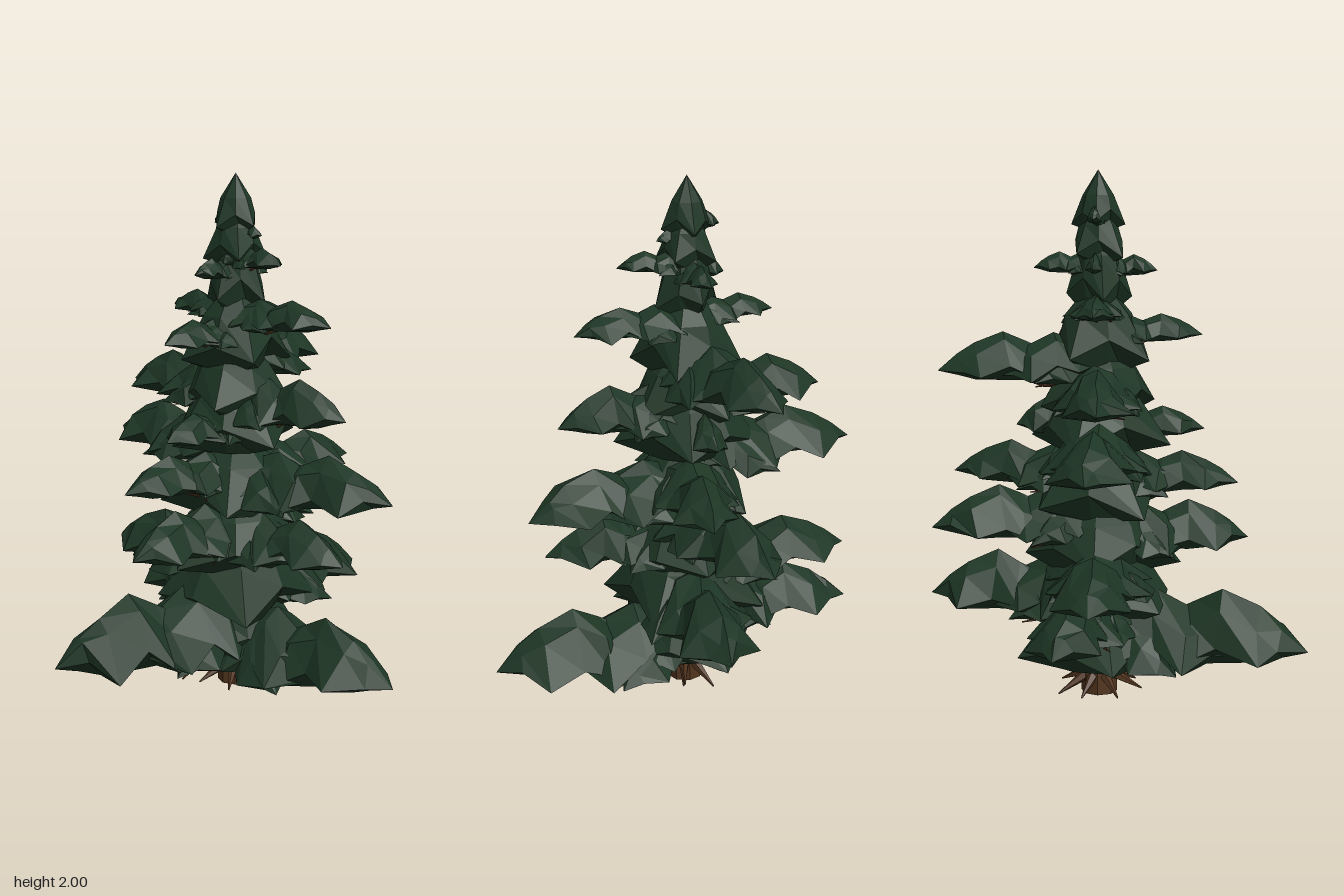
import * as THREE from 'three';
import { mergeGeometries } from 'three/addons/utils/BufferGeometryUtils.js';

const CX = -0.05, CZ = -0.07; // trunk axis
const UP = new THREE.Vector3(0, 1, 0);
const green = new THREE.MeshStandardMaterial({ color: 0x1d3524, flatShading: true });
const brown = new THREE.MeshStandardMaterial({ color: 0x51341e, flatShading: true });

// Seeded jitter in -1..1
let seed = 7;
function jitter() {
  seed = (seed * 16807) % 2147483647;
  return (seed / 2147483647) * 2 - 1;
}

// Lens-shaped needle clump: cross-sections along root to tip
const STATIONS = [ // t, half width, ridge, edge, belly
  [0.0, 0.5, 0.5, 0.1, -0.25],
  [0.2, 1.0, 0.75, -0.12, -0.32],
  [0.4, 0.72, 1.0, 0.12, -0.3],
  [0.66, 1.0, 0.72, -0.1, -0.25],
  [0.82, 0.42, 0.44, 0.06, -0.12],
];
function clump(root, tip, width, height) {
  const side = tip.clone().sub(root).cross(UP).normalize();
  const at = (t, s, v) => root.clone().lerp(tip, t).addScaledVector(side, s * width).addScaledVector(UP, v * height);
  const rings = STATIONS.map(([t, w, ridge, edge, belly]) => {
    const shoulder = edge + (ridge - edge) * 0.7;
    const j = () => jitter() * 0.09;
    return [
      at(t + j() * 0.5, w + j(), edge + j()), at(t, w * 0.48 + j(), shoulder + j()), at(t, j(), ridge),
      at(t, -w * 0.48 + j(), shoulder + j()), at(t + j() * 0.5, -w + j(), edge + j()), at(t, j(), belly),
    ];
  });
  const tris = [];
  for (let k = 1; k < 5; k++) tris.push(rings[0][0], rings[0][k], rings[0][k + 1]);
  for (let i = 0; i < rings.length; i++) {
    const a = rings[i], b = rings[i + 1];
    for (let k = 0; k < 6; k++) {
      const n = (k + 1) % 6;
      if (b) tris.push(a[k], b[k], a[n], b[k], b[n], a[n]);
      else tris.push(a[k], tip, a[n]);
    }
  }
  const g = new THREE.BufferGeometry().setFromPoints(tris);
  g.computeVertexNormals();
  return g;
}

// Tapered stick between two points
function stick(a, b, r0, r1, sides = 5) {
  const d = b.clone().sub(a);
  const g = new THREE.CylinderGeometry(r1, r0, d.length(), sides);
  g.applyQuaternion(new THREE.Quaternion().setFromUnitVectors(UP, d.clone().normalize()));
  const m = a.clone().add(b).multiplyScalar(0.5);
  return g.translate(m.x, m.y, m.z);
}

// One bough: outer clump, inner clump, two side clumps and its wooden branch
function bough(tx, ty, tz, peak) {
  const group = new THREE.Group();
  group.name = 'bough';
  const axis = new THREE.Vector3(CX, ty, CZ);
  const reach = new THREE.Vector3(tx - CX, 0, tz - CZ);
  const L = reach.length(), h = peak - ty;
  const along = (f, turn = 0, lift = 0) =>
    axis.clone().addScaledVector(reach.clone().applyAxisAngle(UP, turn), f).addScaledVector(UP, lift * h);
  const parts = [
    clump(along(0.33), along(1), L * 0.225, h),
    clump(along(0.02, 0, 0.1), along(0.68, 0.05 * jitter(), -0.15), L * 0.29, h * 0.95),
  ];
  for (const s of [-1, 1]) {
    const turn = s * (0.5 + 0.1 * jitter());
    parts.push(clump(along(0.05), along(0.54 + 0.06 * jitter(), turn, -0.3), L * 0.15, h * 0.7));
  }
  const needles = new THREE.Mesh(mergeGeometries(parts), green);
  needles.name = 'needles';
  const wood = new THREE.Mesh(mergeGeometries([
    stick(along(0, 0, -0.35), along(0.35, 0, -0.44), L * 0.028, L * 0.02),
    stick(along(0.34, 0, -0.44), along(0.7, 0, 0.1), L * 0.02, L * 0.006),
    stick(along(0.2, 0, -0.4), along(0.46, 0.4, -0.4), L * 0.015, L * 0.004),
  ]), brown);
  wood.name = 'branch';
  group.add(needles, wood);
  return group;
}

// Jagged skirt of needles around the trunk, tucked in underneath
function skirt(top, rim, r, turn) {
  const n = 8, H = top - rim;
  const profile = [[0, rim], [r * 0.55, rim], [r, rim + H * 0.22], [r * 0.68, rim + H * 0.58], [0, top]]
    .map(([x, y]) => new THREE.Vector2(x, y));
  const g = new THREE.LatheGeometry(profile, n, turn);
  const p = g.attributes.position;
  const wob = Array.from({ length: n }, (_, j) => (j % 2 ? 0.85 : 1.12) + 0.08 * jitter());
  for (let i = 0; i < p.count; i++) {
    const f = wob[Math.floor(i / 5) % n];
    if (i % 5 === 2) p.setXYZ(i, p.getX(i) * f, p.getY(i) + (1 - f) * H * 0.7, p.getZ(i) * f);
  }
  g.computeVertexNormals();
  const mesh = new THREE.Mesh(g.translate(CX, 0, CZ), green);
  mesh.name = 'needleSkirt';
  return mesh;
}

export function createModel() {
  seed = 7;
  const tree = new THREE.Group();
  tree.name = 'firTree';

  // Trunk and spreading roots
  const base = new THREE.Vector3(CX, 0, CZ);
  const trunk = new THREE.Mesh(stick(base, base.clone().setY(1.85), 0.07, 0.012, 8), brown);
  trunk.name = 'trunk';
  tree.add(trunk);
  const roots = [];
  for (let i = 0; i < 8; i++) {
    const a = (i / 8) * Math.PI * 2 + 0.25 + 0.2 * jitter();
    const r = 0.16 + 0.02 * jitter();
    roots.push(stick(
      new THREE.Vector3(CX + Math.cos(a) * 0.03, 0.085, CZ + Math.sin(a) * 0.03),
      new THREE.Vector3(CX + Math.cos(a) * r, 0.015 + 0.012 * jitter(), CZ + Math.sin(a) * r), 0.026, 0.003));
  }
  const rootMesh = new THREE.Mesh(mergeGeometries(roots), brown);
  rootMesh.name = 'roots';
  const twig = new THREE.Mesh(
    stick(new THREE.Vector3(CX, 0.06, CZ), new THREE.Vector3(0.02, 0.08, -0.3), 0.02, 0.004), brown);
  twig.name = 'bareTwig';
  tree.add(rootMesh, twig);

  // Needle skirts hugging the trunk: top, rim, radius
  [
    [2.0, 1.78, 0.085], [1.9, 1.66, 0.105], [1.84, 1.48, 0.115],
    [1.62, 1.26, 0.19], [1.42, 1.08, 0.21], [1.3, 0.95, 0.24],
    [1.04, 0.7, 0.25], [0.84, 0.48, 0.27], [0.66, 0.3, 0.29], [0.48, 0.11, 0.27],
  ].forEach(([t, b, r], i) => tree.add(skirt(t, b, r, i * 0.9)));

  // Boughs: tip x, y, z and crest height
  [
    [0.72, 0.15, -0.13, 0.36], [0.51, 0.58, -0.08, 0.72], [0.6, 0.8, -0.25, 0.96],
    [0.46, 1.11, -0.14, 1.25], [0.39, 1.45, -0.13, 1.54], [0.21, 1.67, -0.05, 1.73],
    [-0.68, 0.31, -0.18, 0.47], [-0.72, 0.48, -0.05, 0.63], [-0.72, 0.94, -0.06, 1.09],
    [-0.6, 1.16, -0.03, 1.3], [-0.39, 1.48, -0.06, 1.55], [-0.19, 1.64, -0.08, 1.7],
    [-0.18, 0.21, 0.73, 0.44], [0.0, 0.61, 0.5, 0.76], [-0.09, 0.84, 0.46, 0.96],
    [0.0, 1.03, 0.33, 1.12], [-0.02, 1.39, 0.32, 1.47], [-0.04, 1.63, 0.15, 1.69],
    [-0.02, 0.37, -0.73, 0.55], [-0.19, 0.67, -0.69, 0.83], [0.02, 0.85, -0.64, 0.98],
    [-0.08, 1.05, -0.38, 1.16], [-0.22, 1.27, -0.65, 1.41], [-0.07, 1.64, -0.31, 1.7],
    [0.07, 1.77, -0.09, 1.81], [-0.17, 1.82, -0.08, 1.87],
  ].forEach((b) => tree.add(bough(...b)));

  return tree;
}
